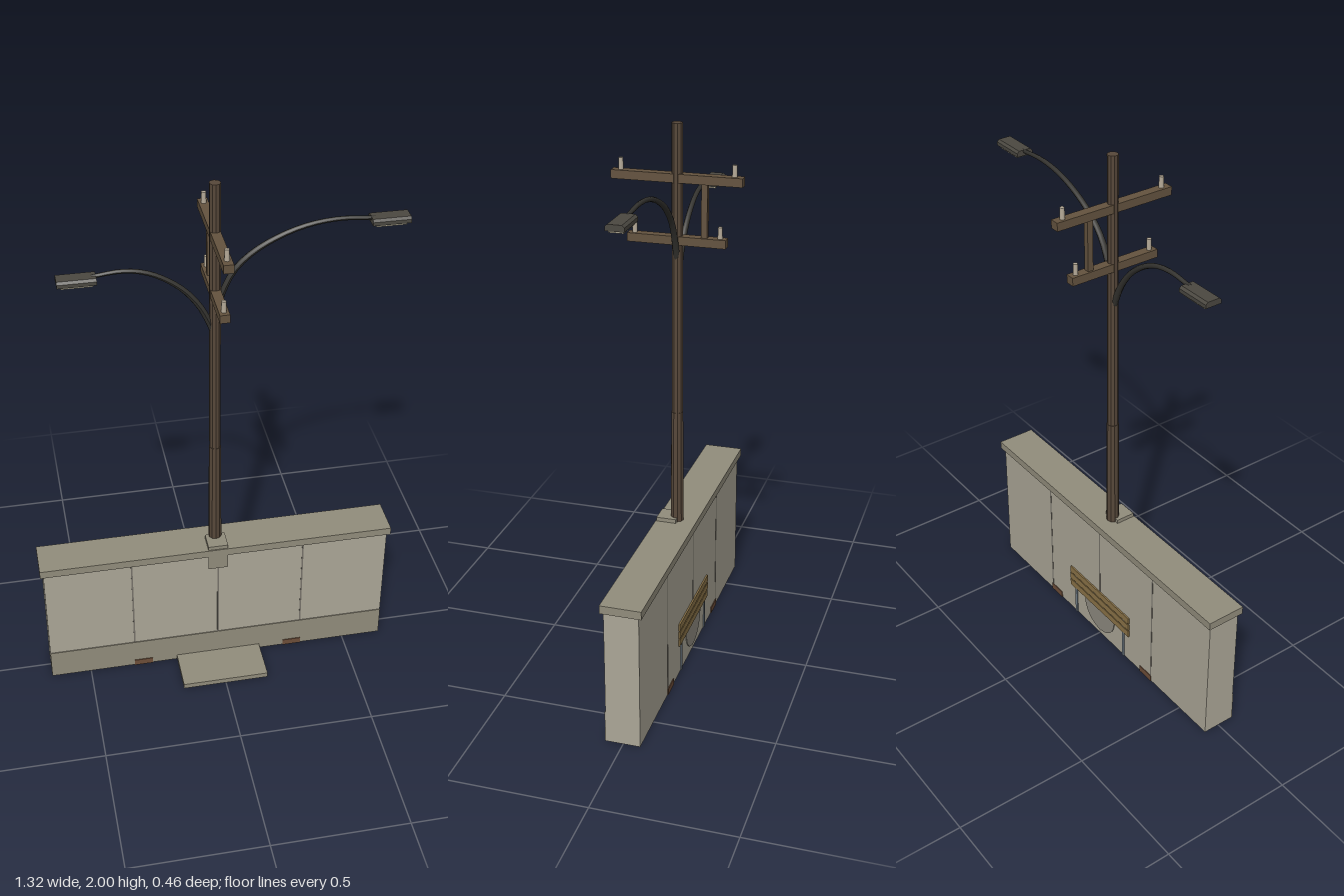
import * as THREE from 'three';

const mat = (color, flatShading = false) => new THREE.MeshStandardMaterial({ color, flatShading });

export function createModel() {
  const root = new THREE.Group();
  const M = {
    wall: mat(0xaca798), trim: mat(0x928d7c), seam: mat(0x77736a), brick: mat(0x6e4e39),
    pole: mat(0x57483a, true), wood: mat(0x64533f), metal: mat(0x34332f), lamp: mat(0x4b4841, true),
    lens: mat(0xa8a28c), insulator: mat(0xb5aa98), slat: mat(0x8c7448), leg: mat(0x73808a),
    disc: mat(0x8f8b80)
  };
  const add = (name, geo, material, x = 0, y = 0, z = 0, parent = root) => {
    const m = new THREE.Mesh(geo, material);
    m.name = name;
    m.position.set(x, y, z);
    parent.add(m);
    return m;
  };
  // box given by its limits on each axis
  const box = (name, material, [x0, x1], [y0, y1], [z0, z1], parent = root) =>
    add(name, new THREE.BoxGeometry(x1 - x0, y1 - y0, z1 - z0), material,
      (x0 + x1) / 2, (y0 + y1) / 2, (z0 + z1) / 2, parent);

  // wall with plinth, coping and step slab
  box('wall', M.wall, [-0.65, 0.65], [0, 0.515], [-0.061, 0.062]);
  box('plinth', M.trim, [-0.65, 0.65], [0, 0.118], [0.06, 0.065]);
  box('coping', M.trim, [-0.662, 0.662], [0.51, 0.54], [-0.074, 0.072]);
  box('stepSlab', M.trim, [-0.163, 0.163], [0, 0.02], [0.055, 0.226]);

  // panel seams on both faces, drain blocks through the foot
  for (const x of [-0.325, 0, 0.325]) {
    box('panelSeam', M.seam, [x - 0.003, x + 0.003], [0.118, 0.51], [0.06, 0.063]);
    box('panelSeam', M.seam, [x - 0.003, x + 0.003], [0, 0.51], [-0.062, -0.059]);
  }
  for (const x of [-0.294, 0.294])
    box('drainBlock', M.brick, [x - 0.035, x + 0.035], [0, 0.025], [-0.064, 0.068]);

  // bench back set against the rear face
  const bench = new THREE.Group();
  bench.name = 'bench';
  root.add(bench);
  for (let i = 0; i < 3; i++) {
    const y = 0.12 + i * 0.032;
    box('benchSlat', M.slat, [-0.19, 0.19], [y, y + 0.027], [-0.067, -0.06], bench);
  }
  for (const x of [-0.155, 0.155])
    box('benchLeg', M.leg, [x - 0.006, x + 0.006], [0, 0.205], [-0.065, -0.06], bench);
  const disc = add('benchDisc', new THREE.CylinderGeometry(0.095, 0.095, 0.004, 32), M.disc, 0, 0.115, -0.062, bench);
  disc.rotation.x = Math.PI / 2;

  // pole, lower sleeve and mounting bracket
  box('poleBracket', M.trim, [-0.037, 0.037], [0.448, 0.555], [-0.005, 0.068]);
  add('pole', new THREE.CylinderGeometry(0.019, 0.021, 1.5, 10), M.pole, 0, 1.25, 0);
  add('poleSleeve', new THREE.CylinderGeometry(0.022, 0.024, 0.44, 10), M.pole, 0, 0.75, 0);

  // cross arms with insulators
  for (const [y, half, pin] of [[1.816, 0.228, 0.197], [1.602, 0.173, 0.15]]) {
    box('crossArm', M.wood, [-0.017, 0.017], [y - 0.015, y + 0.015], [-half, half]);
    for (const z of [-pin, pin])
      add('insulator', new THREE.CylinderGeometry(0.008, 0.009, 0.042, 10), M.insulator, 0, y + 0.034, z);
  }
  box('armBrace', M.wood, [-0.01, 0.01], [1.61, 1.808], [-0.107, -0.086]);

  // curved lamp arm: a tube narrowed toward its tip
  const lampArm = (points) => {
    const curve = new THREE.CatmullRomCurve3(points.map(([x, y]) => new THREE.Vector3(x, y, 0)));
    const rings = 20, sides = 8;
    const geo = new THREE.TubeGeometry(curve, rings, 0.012, sides);
    const p = geo.attributes.position, v = new THREE.Vector3();
    for (let i = 0; i < p.count; i++) {
      const t = Math.floor(i / (sides + 1)) / rings;
      const c = curve.getPointAt(t);
      v.fromBufferAttribute(p, i).sub(c).multiplyScalar(1 - 0.42 * t).add(c);
      p.setXYZ(i, v.x, v.y, v.z);
    }
    geo.computeVertexNormals();
    add('lampArm', geo, M.metal);
  };
  lampArm([[0.005, 1.53], [0.022, 1.59], [0.063, 1.676], [0.12, 1.734], [0.2, 1.782], [0.3, 1.818], [0.41, 1.832], [0.535, 1.823]]);
  lampArm([[-0.005, 1.45], [-0.02, 1.49], [-0.053, 1.556], [-0.105, 1.622], [-0.175, 1.675], [-0.24, 1.704], [-0.31, 1.714], [-0.405, 1.705]]);

  // lamp heads: chamfered housing with a lens below
  const profile = new THREE.Shape([[-0.031, -0.008], [0.031, -0.008], [0.031, 0.005], [0.023, 0.013], [-0.023, 0.013], [-0.031, 0.005]]
    .map(([a, b]) => new THREE.Vector2(a, b)));
  const housing = new THREE.ExtrudeGeometry(profile, { depth: 0.13, bevelEnabled: false });
  housing.translate(0, 0, -0.065).rotateY(Math.PI / 2);
  for (const [x, y] of [[0.583, 1.817], [-0.455, 1.697]]) {
    const lamp = new THREE.Group();
    lamp.name = 'lampHead';
    lamp.position.set(x, y, 0);
    root.add(lamp);
    add('lampHousing', housing, M.lamp, 0, 0, 0, lamp);
    box('lampLens', M.lens, [-0.052, 0.052], [-0.016, -0.007], [-0.024, 0.024], lamp);
  }
  return root;
}
